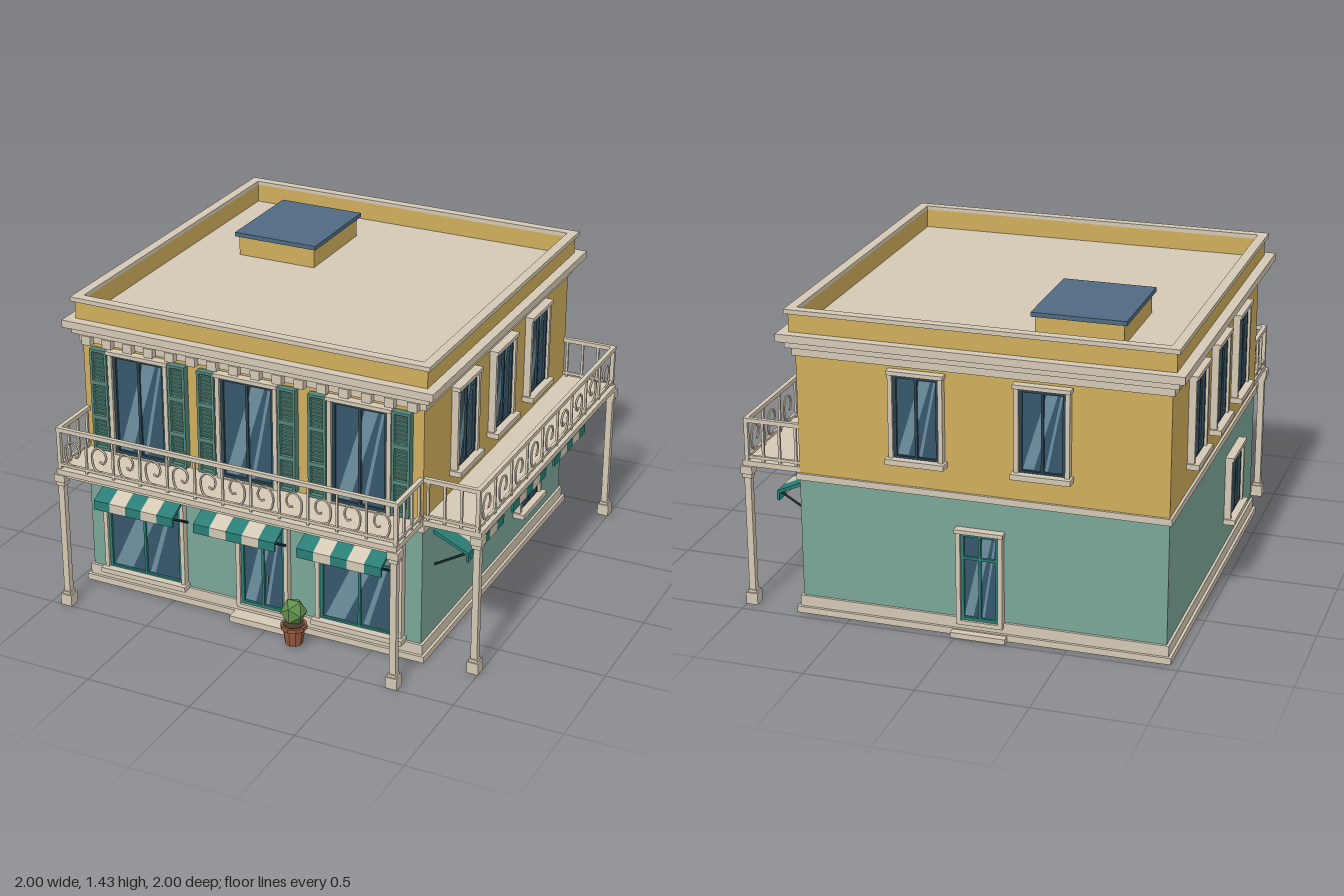
import * as THREE from 'three';

const mat = (color, side = THREE.FrontSide) => new THREE.MeshStandardMaterial({ color, side, flatShading: true });
const M = {
  cream: mat(0xd3c8b4), yellow: mat(0xcfae5c), mint: mat(0x7aa597), teal: mat(0x2a7d76),
  shutter: mat(0x55877a), slat: mat(0x426f65), frame: mat(0x2b4450), glass: mat(0x37566a),
  glint: mat(0x6d909f, THREE.DoubleSide), skylight: mat(0x4f6a82), iron: mat(0x25383c),
  pot: mat(0x96593f), soil: mat(0x4d3b2c), leaf: mat(0x5f8f4c),
};
const C = -0.105; // building axis in x and z
const H = 0.83;   // half width of the walls

function add(parent, name, geo, material, x = 0, y = 0, z = 0) {
  const m = new THREE.Mesh(geo, material);
  m.name = name;
  m.position.set(x, y, z);
  parent.add(m);
  return m;
}
// box given by centre x, bottom and top y, centre z
const box = (p, name, material, x, y0, y1, z, w, d) =>
  add(p, name, new THREE.BoxGeometry(w, y1 - y0, d), material, x, (y0 + y1) / 2, z);

function group(parent, name) {
  const g = new THREE.Group();
  g.name = name;
  parent.add(g);
  return g;
}
const rect = (path, x0, y0, x1, y1) =>
  path.moveTo(x0, y0).lineTo(x1, y0).lineTo(x1, y1).lineTo(x0, y1).closePath();

// flat rectangular ring, standing in the xy plane
function ring(w, h, t, depth) {
  const s = new THREE.Shape(), hole = new THREE.Path();
  rect(s, -w / 2, -h / 2, w / 2, h / 2);
  rect(hole, -w / 2 + t, -h / 2 + t, w / 2 - t, h / 2 - t);
  s.holes.push(hole);
  return new THREE.ExtrudeGeometry(s, { depth, bevelEnabled: false });
}
function bar(parent, name, material, a, b, r) {
  const A = new THREE.Vector3(...a), B = new THREE.Vector3(...b);
  const m = add(parent, name, new THREE.CylinderGeometry(r, r, A.distanceTo(B), 6), material);
  m.position.copy(A).lerp(B, 0.5);
  m.quaternion.setFromUnitVectors(new THREE.Vector3(0, 1, 0), B.sub(A).normalize());
}

// window or door: glass w wide between y0 and y1, optional sill and transom
function opening(parent, name, x, y0, y1, w, { sill = true, transom = 0, sash = M.frame } = {}) {
  const g = group(parent, name), h = y1 - y0, cy = (y0 + y1) / 2;
  g.position.set(x, 0, H);
  add(g, 'surround', ring(w + 0.05, h + 0.05, 0.02, 0.035), M.cream, 0, cy, -0.003);
  add(g, 'sash', ring(w + 0.01, h + 0.01, 0.014, 0.02), sash, 0, cy, 0);
  box(g, 'glass', M.glass, 0, y0, y1, 0.003, w, 0.012);
  box(g, 'mullion', sash, 0, y0, y1, 0.013, 0.012, 0.014);
  if (transom) box(g, 'transom', sash, 0, transom - 0.006, transom + 0.006, 0.013, w, 0.014);
  box(g, 'lintel', M.cream, 0, y1 + 0.008, y1 + 0.026, 0.018, w + 0.06, 0.044);
  // slanting reflections on the panes
  for (const [b0, b1, t0, t1] of [[-0.45, -0.2, 0.08, 0.33], [0.05, 0.12, 0.4, 0.45]]) {
    const s = new THREE.Shape();
    s.moveTo(b0 * w, y0 + 0.015).lineTo(b1 * w, y0 + 0.015).lineTo(t1 * w, y1 - 0.015).lineTo(t0 * w, y1 - 0.015);
    add(g, 'reflection', new THREE.ShapeGeometry(s), M.glint, 0, 0, 0.0115);
  }
  if (sill) box(g, 'sill', M.cream, 0, y0 - 0.025, y0, 0.025, w + 0.07, 0.06);
}

function shutter(parent, x) {
  const g = group(parent, 'shutter'), y0 = 0.7, y1 = 1.19, n = 22;
  g.position.set(x, 0, H);
  add(g, 'shutterFrame', ring(0.085, y1 - y0, 0.012, 0.035), M.shutter, 0, (y0 + y1) / 2, 0);
  box(g, 'shutterBoard', M.slat, 0, y0, y1, 0.008, 0.08, 0.012);
  for (let i = 0; i < n; i++) {
    const y = y0 + 0.02 + (i + 0.5) * (y1 - y0 - 0.04) / n;
    box(g, 'slat', M.shutter, 0, y - 0.007, y + 0.007, 0.018, 0.062, 0.006).rotation.x = 0.5;
  }
  for (const y of [0.86, 1.03]) box(g, 'shutterRail', M.shutter, 0, y - 0.01, y + 0.01, 0.018, 0.07, 0.034);
}

// striped canopy with a hanging valance on two stays
function awning(parent, x) {
  const g = group(parent, 'awning'), w = 0.404, n = 5, sw = w / n;
  g.position.set(x, 0, H);
  const s = new THREE.Shape();
  s.moveTo(0, 0.585).lineTo(0.165, 0.51).lineTo(0.165, 0.465).lineTo(0.154, 0.465)
    .lineTo(0.154, 0.5).lineTo(0, 0.568).closePath();
  for (let i = 0; i < n; i++) {
    const geo = new THREE.ExtrudeGeometry(s, { depth: sw, bevelEnabled: false });
    geo.translate(0, 0, -sw / 2).rotateY(-Math.PI / 2);
    add(g, 'awningStripe', geo, i % 2 ? M.cream : M.teal, (i - 2) * sw, 0, 0);
  }
  for (const sx of [-1, 1]) bar(g, 'awningStay', M.iron, [sx * 0.185, 0.41, 0], [sx * 0.185, 0.5, 0.15], 0.006);
}

// C-shaped scroll with a small inward curl
const scrollPath = new THREE.CatmullRomCurve3([
  [0.012, -0.06], [-0.022, -0.055], [-0.038, -0.015], [-0.034, 0.03], [-0.006, 0.055],
  [0.026, 0.04], [0.034, 0.008], [0.018, -0.016], [0, -0.008],
].map(([x, y]) => new THREE.Vector3(x, y, 0)));
const scrollGeo = new THREE.TubeGeometry(scrollPath, 28, 0.0055, 5);

function balcony(parent, bays) {
  const g = group(parent, 'balcony'), out = H + 0.25, half = 0.82;
  box(g, 'balconyFloor', M.cream, 0, 0.665, 0.69, (H + out + 0.02) / 2, 2 * H, out + 0.02 - H);
  box(g, 'floorEdge', M.cream, 0, 0.65, 0.672, out - 0.005, 2 * H - 0.02, 0.03);
  for (const y of [0.708, 0.88]) {
    const t = y > 0.8 ? 0.02 : 0.013;
    box(g, 'rail', M.cream, 0, y - t / 2, y + t / 2, out, 2 * half + 0.02, t);
    for (const s of [-1, 1])
      box(g, 'endRail', M.cream, s * half, y - t / 2, y + t / 2, (H + out) / 2, t, out - H);
  }
  const step = 2 * half / bays;
  for (let i = 0; i <= bays; i++) {
    const x = -half + i * step, t = i % bays ? 0.01 : 0.018;
    box(g, 'picket', M.cream, x, 0.69, 0.88, out, t, t);
    if (i < bays) {
      const m = add(g, 'scroll', scrollGeo, M.cream, x + step / 2, 0.772, out);
      m.scale.x = bays < 10 ? 1.1 : 1;
      if (i >= bays / 2) m.rotation.y = Math.PI;
    }
  }
  for (const s of [-1, 1]) {
    for (let k = 0; k < 3; k++)
      box(g, 'endPicket', M.cream, s * half, 0.69, 0.88, out - 0.077 * (k + 1), 0.011, 0.011);
    // supporting post with stepped base and capital
    const p = group(g, 'post');
    p.position.set(s * 0.815, 0, out);
    box(p, 'postBase', M.cream, 0, 0, 0.055, 0, 0.055, 0.055);
    box(p, 'postFoot', M.cream, 0, 0.055, 0.068, 0, 0.042, 0.042);
    box(p, 'postShaft', M.cream, 0, 0.06, 0.64, 0, 0.03, 0.03);
    box(p, 'postNeck', M.cream, 0, 0.61, 0.63, 0, 0.042, 0.042);
    box(p, 'postCapital', M.cream, 0, 0.63, 0.666, 0, 0.054, 0.054);
  }
}

export function createModel() {
  const root = new THREE.Group();
  root.name = 'cornerBuilding';
  const b = group(root, 'building');
  b.position.set(C, 0, C);
  const tier = (name, material, y0, y1, half) => box(b, name, material, 0, y0, y1, 0, 2 * half, 2 * half);

  // stacked storeys and mouldings
  tier('plinth', M.cream, 0, 0.03, H + 0.025);
  tier('baseBand', M.cream, 0.03, 0.08, H + 0.012);
  tier('lowerWalls', M.mint, 0.08, 0.64, H);
  tier('floorBand', M.cream, 0.635, 0.665, H + 0.012);
  tier('upperWalls', M.yellow, 0.66, 1.22, H);
  tier('frieze', M.cream, 1.21, 1.255, H + 0.012);
  tier('lowerCornice', M.cream, 1.25, 1.285, H + 0.035);
  tier('cornice', M.cream, 1.283, 1.318, H + 0.065);
  const flatRing = (half, t, depth) => ring(2 * half, 2 * half, t, depth).rotateX(-Math.PI / 2);
  add(b, 'parapet', flatRing(H + 0.02, 0.03, 0.09), M.yellow, 0, 1.315, 0);
  add(b, 'parapetCap', flatRing(H + 0.035, 0.045, 0.02), M.cream, 0, 1.402, 0);
  box(b, 'skylightCurb', M.yellow, -0.365, 1.318, 1.415, -0.37, 0.39, 0.46);
  box(b, 'skylight', M.skylight, -0.365, 1.412, 1.432, -0.37, 0.42, 0.49);

  const [front, right, back, left] = ['front', 'right', 'back', 'left'].map((n, i) => {
    const g = group(b, n + 'Facade');
    g.rotation.y = [0, Math.PI / 2, Math.PI, -Math.PI / 2][i];
    return g;
  });

  // front: balcony doors with shutters, shop windows, entrance, sign
  for (const x of [-0.54, 0, 0.54]) {
    opening(front, 'balconyDoor', x, 0.7, 1.17, 0.25, { sill: false });
    for (const s of [-1, 1]) shutter(front, x + s * 0.197);
  }
  for (const x of [-0.54, 0.54])
    opening(front, 'shopWindow', x, 0.1, 0.555, 0.37, { transom: 0.43, sash: M.teal });
  opening(front, 'entranceDoor', 0.065, 0.08, 0.555, 0.21, { sill: false, transom: 0.42, sash: M.teal });
  bar(front, 'doorHandle', M.cream, [0.09, 0.21, H + 0.025], [0.09, 0.26, H + 0.025], 0.004);
  box(front, 'doorStep', M.cream, 0.065, 0, 0.03, H + 0.04, 0.285, 0.08);
  box(front, 'signBoard', M.teal, 0, 0.55, 0.625, H + 0.05, 0.66, 0.03);
  add(front, 'signFrame', ring(0.67, 0.09, 0.008, 0.036), M.teal, 0, 0.5875, H + 0.034);
  for (const s of [-1, 1]) box(front, 'signBracket', M.iron, s * 0.25, 0.58, 0.6, H + 0.02, 0.015, 0.04);
  for (let i = 0; i < 16; i++)
    box(front, 'dentil', M.cream, -0.79 + i * 1.58 / 15, 1.207, 1.25, H + 0.022, 0.045, 0.04);

  // sides and back
  for (const side of [right, left]) {
    for (const x of [-0.42, 0, 0.42]) opening(side, 'upperWindow', x, 0.8, 1.17, 0.195);
    opening(side, 'lowerWindow', 0.37, 0.22, 0.5, 0.22);
  }
  for (const x of [-0.28, 0.28]) opening(back, 'upperWindow', x, 0.8, 1.17, 0.195);
  opening(back, 'backDoor', 0, 0.08, 0.48, 0.16, { sill: false, transom: 0.37, sash: M.teal });
  box(back, 'backStep', M.cream, 0, 0, 0.025, H + 0.03, 0.25, 0.06);

  // balconies and awnings along the two street sides
  balcony(front, 12);
  balcony(right, 9);
  for (const side of [front, right]) for (const x of [-0.51, 0, 0.51]) awning(side, x);

  // potted shrub by the entrance
  const plant = group(root, 'pottedShrub');
  plant.position.set(0.175, 0, 0.866);
  add(plant, 'pot', new THREE.CylinderGeometry(0.052, 0.04, 0.09, 10), M.pot, 0, 0.064, 0);
  add(plant, 'potRim', new THREE.CylinderGeometry(0.06, 0.06, 0.02, 10), M.pot, 0, 0.105, 0);
  add(plant, 'soil', new THREE.CylinderGeometry(0.05, 0.05, 0.006, 10), M.soil, 0, 0.115, 0);
  add(plant, 'foliage', new THREE.IcosahedronGeometry(0.06, 0), M.leaf, 0, 0.175, 0).scale.y = 1.1;
  return root;
}
